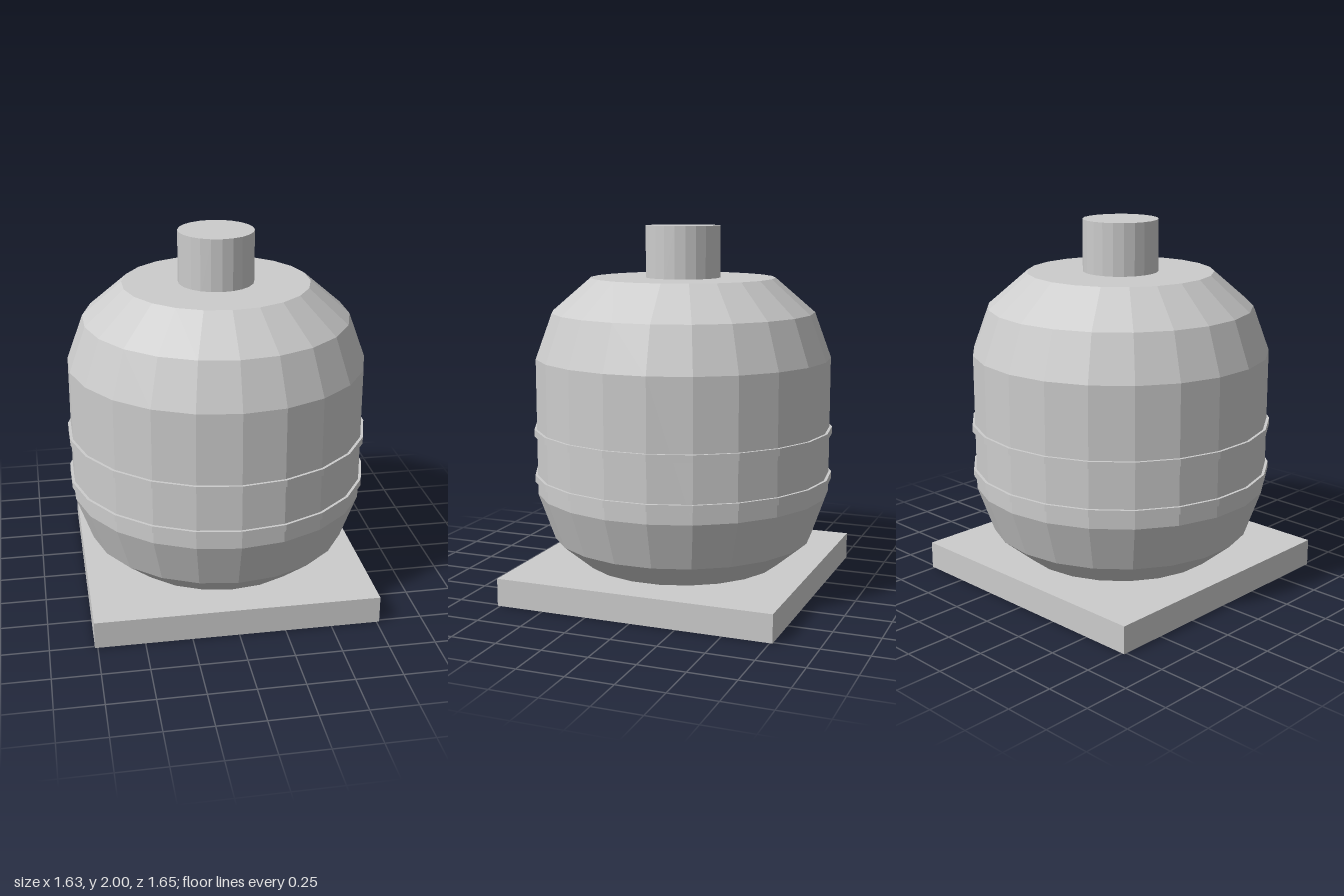
import * as THREE from 'three';

const SIDES = 22;

export function createModel() {
  const model = new THREE.Group();
  const grey = new THREE.MeshStandardMaterial({ color: 0xcccccc, flatShading: true });
  grey.name = 'light grey';

  const add = (name, geometry, y = 0) => {
    const mesh = new THREE.Mesh(geometry, grey);
    mesh.name = name;
    mesh.position.y = y;
    model.add(mesh);
  };

  // Square plinth
  add('base', new THREE.BoxGeometry(1.53, 0.15, 1.53), 0.075);

  // Faceted barrel, closed at both ends and slightly sunk into the base
  const profile = [
    [0, 0.11], [0.505, 0.11], [0.72, 0.29], [0.81, 0.545],
    [0.81, 1.29], [0.72, 1.535], [0.505, 1.72], [0, 1.72],
  ].map(([r, y]) => new THREE.Vector2(r, y));
  add('tank', new THREE.LatheGeometry(profile, SIDES));

  // Two raised bands around the barrel
  for (const [name, y] of [['lowerBand', 0.632], ['upperBand', 0.886]]) {
    add(name, new THREE.CylinderGeometry(0.825, 0.825, 0.038, SIDES), y);
  }

  // Neck on top
  add('neck', new THREE.CylinderGeometry(0.204, 0.204, 0.3, SIDES), 1.85);

  return model;
}
